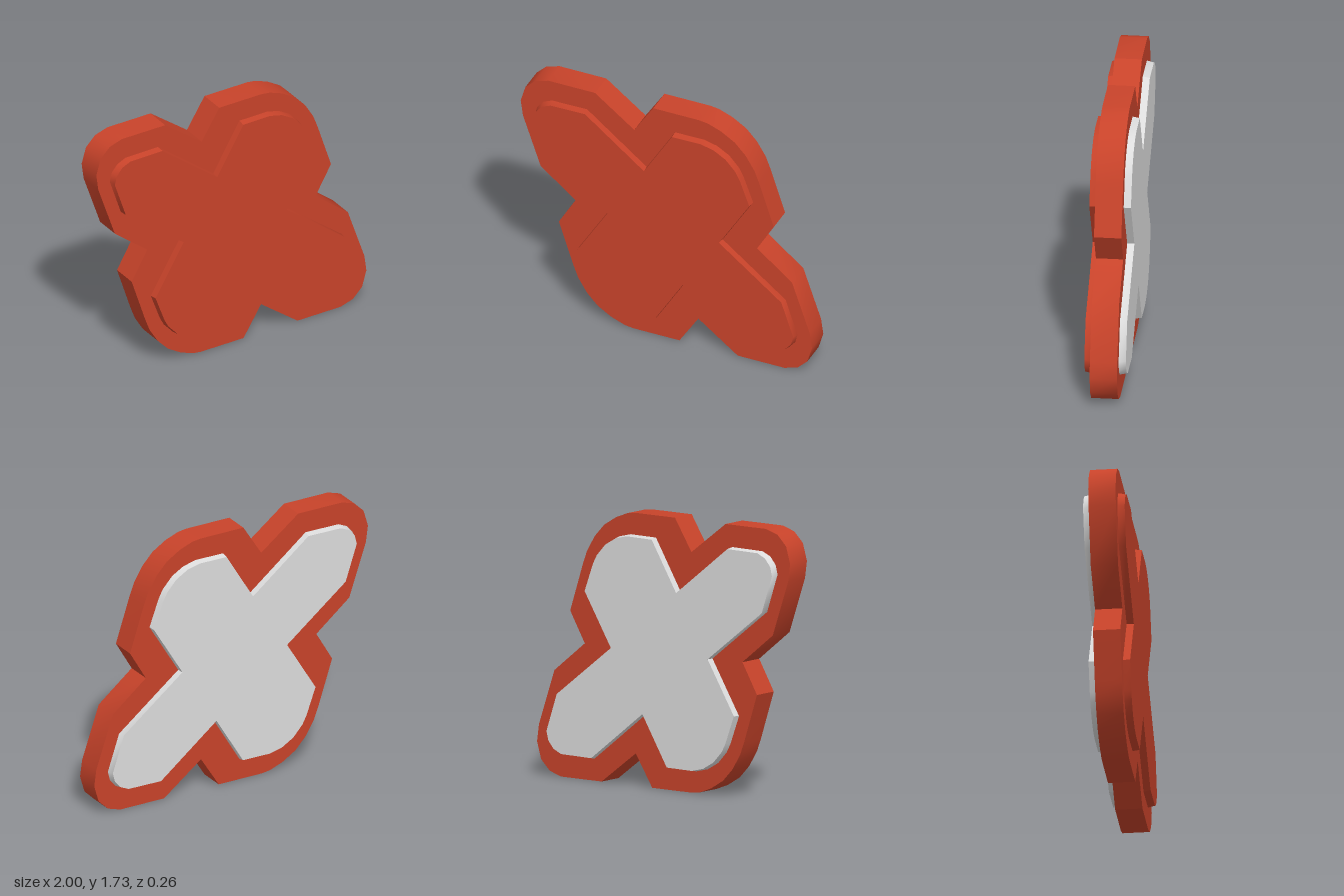
import * as THREE from 'three';
import { toCreasedNormals } from 'three/addons/utils/BufferGeometryUtils.js';

const MID = 0.865; // height of the centre of the half-turn symmetry

// Upper halves of the outlines, from the left notch over the top to the right arm
const RIM = [
  [-0.623, 0.867], [-0.863, 1.06], [-0.985, 1.415], [-1, 1.525], [-0.968, 1.635],
  [-0.9, 1.702], [-0.81, 1.73], [-0.49, 1.73], [-0.22, 1.525], [-0.09, 1.73],
  [0.225, 1.73], [0.285, 1.722], [0.375, 1.688], [0.47, 1.63], [0.545, 1.55],
  [0.605, 1.452], [0.638, 1.365], [0.738, 1.06],
];
const PANEL = [
  [-0.387, 0.867], [-0.82, 1.205], [-0.902, 1.45], [-0.887, 1.51], [-0.845, 1.56],
  [-0.785, 1.587], [-0.545, 1.59], [-0.135, 1.267], [0.06, 1.59], [0.26, 1.592],
  [0.35, 1.57], [0.432, 1.522], [0.5, 1.447], [0.53, 1.39], [0.597, 1.208],
];

// Completes an outline by a half turn about the centre
function crossShape(half) {
  const upper = half.map(([x, y]) => new THREE.Vector2(x, y - MID));
  return new THREE.Shape([...upper, ...upper.map((p) => p.clone().negate())]);
}

// Slab between z0 and z1, narrowed a little at the face lying at z = taperZ
function slab(name, half, z0, z1, material, taperZ = null) {
  const geo = new THREE.ExtrudeGeometry(crossShape(half), { depth: z1 - z0, bevelEnabled: false });
  geo.translate(0, 0, z0);
  const p = geo.attributes.position;
  for (let i = 0; i < p.count; i++) {
    const k = taperZ !== null && Math.abs(p.getZ(i) - taperZ) < 1e-4 ? 0.988 : 1;
    p.setXY(i, p.getX(i) * k, p.getY(i) * k + MID);
  }
  const mesh = new THREE.Mesh(toCreasedNormals(geo, 0.61), material);
  mesh.name = name;
  return mesh;
}

export function createModel() {
  const red = new THREE.MeshStandardMaterial({ color: 0xc8432a });
  red.name = 'brick red';
  const grey = new THREE.MeshStandardMaterial({ color: 0xdcdcdc });
  grey.name = 'light grey';

  const model = new THREE.Group();
  model.name = 'crossBadge';
  model.add(
    slab('rimPlate', RIM, -0.086, 0.086, red),
    slab('frontPanel', PANEL, 0.08, 0.131, red, 0.131),
    slab('backPanel', PANEL, -0.131, -0.08, grey, -0.131),
  );
  return model;
}
